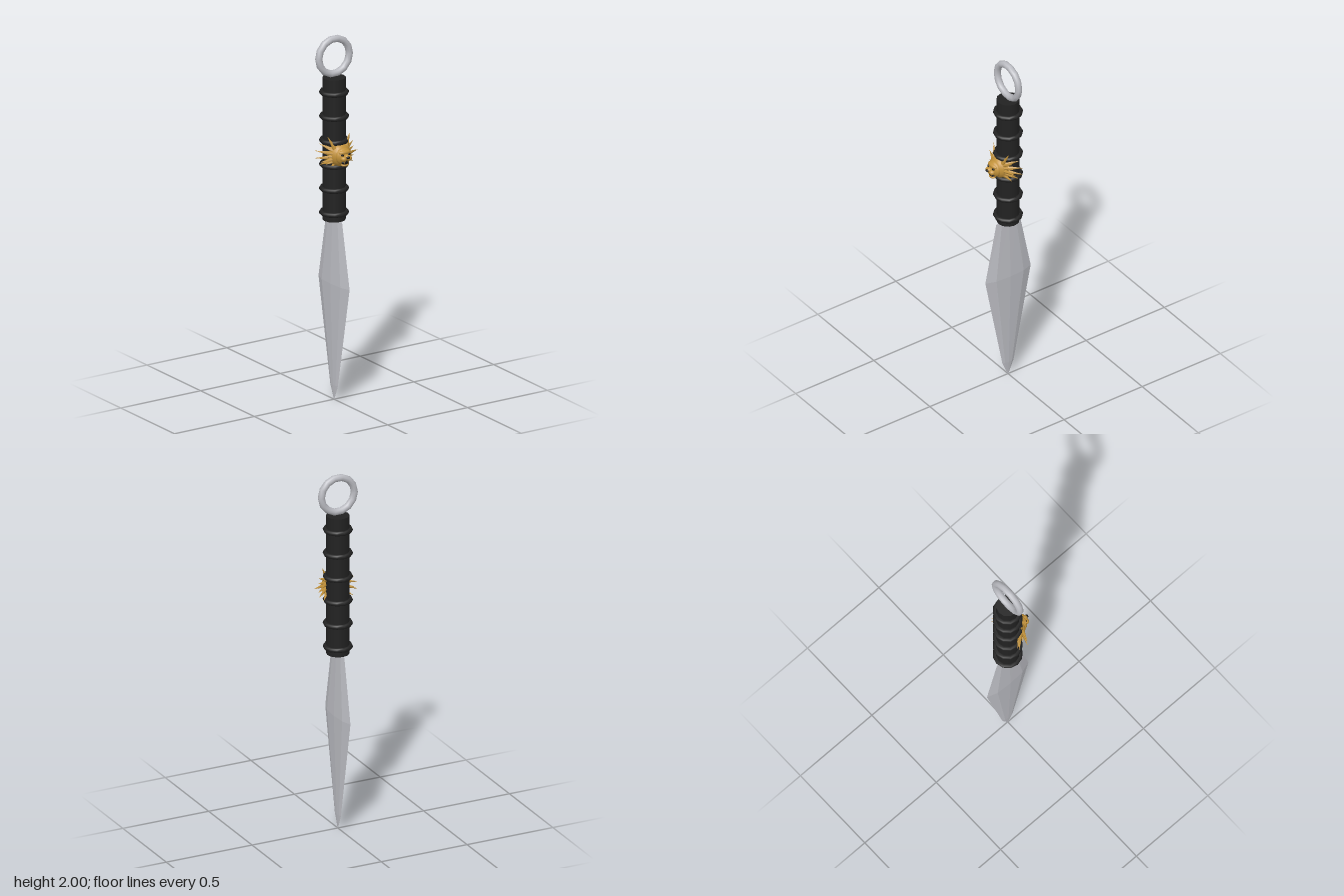
import * as THREE from 'three';

const mat = (name, color, flat = false) => {
  const m = new THREE.MeshStandardMaterial({ color, flatShading: flat });
  m.name = name;
  return m;
};

export function createModel() {
  const model = new THREE.Group();
  model.name = 'throwingDagger';
  const steel = mat('steel', 0xbcbdc3);
  const grip = mat('blackGrip', 0x222222);
  const gold = mat('gold', 0xc2923a);
  const dark = mat('darkDetail', 0x141414);
  const steelFlat = steel;

  const add = (parent, name, geo, material, x = 0, y = 0, z = 0) => {
    const m = new THREE.Mesh(geo, material);
    m.name = name;
    m.position.set(x, y, z);
    parent.add(m);
    return m;
  };
  const blob = (parent, name, material, x, y, z, sx, sy, sz) => {
    const m = add(parent, name, new THREE.SphereGeometry(1, 16, 12), material, x, y, z);
    m.scale.set(sx, sy, sz);
    return m;
  };

  // Blade: bevelled cross-sections [y, half thickness x, half width z]
  const sections = [[0, 0.001, 0.002], [0.08, 0.007, 0.036], [0.64, 0.024, 0.145], [0.99, 0.011, 0.075]];
  const rim = [[0, 1], [0.8, 0.6], [1, 0], [0.8, -0.6], [0, -1], [-0.8, -0.6], [-1, 0], [-0.8, 0.6]];
  const pos = [];
  const point = (s, i) => {
    const [y, hx, hz] = sections[s], [u, v] = rim[i % rim.length];
    return [u * hx, y, v * hz];
  };
  for (let s = 0; s < sections.length - 1; s++) {
    for (let i = 0; i < rim.length; i++) {
      const a = point(s, i), b = point(s, i + 1), c = point(s + 1, i + 1), d = point(s + 1, i);
      pos.push(...a, ...b, ...c, ...a, ...c, ...d);
    }
  }
  const top = sections.length - 1;
  for (let i = 0; i < rim.length; i++) {
    pos.push(0, sections[top][0], 0, ...point(top, i), ...point(top, i + 1));
    pos.push(0, 0, 0, ...point(0, i + 1), ...point(0, i));
  }
  const bladeGeo = new THREE.BufferGeometry();
  bladeGeo.setAttribute('position', new THREE.Float32BufferAttribute(pos, 3));
  bladeGeo.computeVertexNormals();
  add(model, 'blade', bladeGeo, steelFlat);

  // Handle with raised cord bands
  add(model, 'handle', new THREE.CylinderGeometry(0.061, 0.061, 0.78, 12), grip, 0, 1.38, 0);
  for (let i = 0; i < 6; i++) {
    const band = add(model, 'gripBand', new THREE.TorusGeometry(0.066, 0.013, 8, 12), grip, 0, 1.03 + i * 0.132, 0);
    band.rotation.x = Math.PI / 2;
  }

  // Pommel ring
  add(model, 'pommelRing', new THREE.TorusGeometry(0.096, 0.019, 10, 14), steel, 0, 1.885, 0);

  // Beast head emblem
  const head = new THREE.Group();
  head.name = 'beastHead';
  head.position.set(0, 1.36, 0);
  model.add(head);
  blob(head, 'skull', gold, 0, 0, 0.055, 0.06, 0.062, 0.045);
  blob(head, 'face', gold, 0, 0, 0.085, 0.046, 0.046, 0.03);
  blob(head, 'brow', gold, 0, 0.024, 0.096, 0.036, 0.014, 0.018);
  for (const s of [-1, 1]) {
    blob(head, 'cheek', gold, s * 0.015, -0.006, 0.112, 0.018, 0.015, 0.018);
    blob(head, 'eye', dark, s * 0.02, 0.013, 0.109, 0.009, 0.006, 0.006).rotation.z = s * 0.4;
  }
  blob(head, 'muzzle', gold, 0, 0.003, 0.117, 0.014, 0.014, 0.018);
  blob(head, 'nose', dark, 0, 0.004, 0.133, 0.01, 0.007, 0.008);
  blob(head, 'mouth', dark, 0, -0.029, 0.104, 0.022, 0.013, 0.012);
  blob(head, 'jaw', gold, 0, -0.044, 0.1, 0.022, 0.009, 0.016);

  // Cone stretched from a base point to a tip
  const spike = (name, base, tip, r) => {
    const a = new THREE.Vector3(...base), b = new THREE.Vector3(...tip);
    const dir = b.clone().sub(a);
    const m = add(head, name, new THREE.ConeGeometry(r, dir.length(), 6), gold);
    m.position.copy(a).add(b).multiplyScalar(0.5);
    m.quaternion.setFromUnitVectors(new THREE.Vector3(0, 1, 0), dir.normalize());
  };

  // Mane in two staggered layers, the rear one sweeping back round the handle
  for (let i = 0; i < 18; i++) {
    const a = (i / 18) * Math.PI * 2, c = Math.cos(a), s = Math.sin(a);
    const len = i % 2 ? 0.85 : 1;
    spike('frontManeSpike', [c * 0.035, s * 0.035, 0.065], [c * 0.122 * len, s * 0.086 * len, 0.036], 0.014);
  }
  for (let i = 0; i < 14; i++) {
    const a = ((i + 0.5) / 14) * Math.PI * 2, c = Math.cos(a), s = Math.sin(a);
    spike('rearManeSpike', [c * 0.045, s * 0.045, 0.05], [c * 0.112, s * 0.092, 0.03 - 0.05 * Math.abs(c)], 0.014);
  }

  // Horns, fangs
  for (const s of [-1, 1]) {
    spike('horn', [s * 0.036, 0.04, 0.06], [s * 0.07, 0.108, 0.042], 0.013);
    spike('fang', [s * 0.011, -0.018, 0.115], [s * 0.011, -0.036, 0.117], 0.004);
  }
  return model;
}
